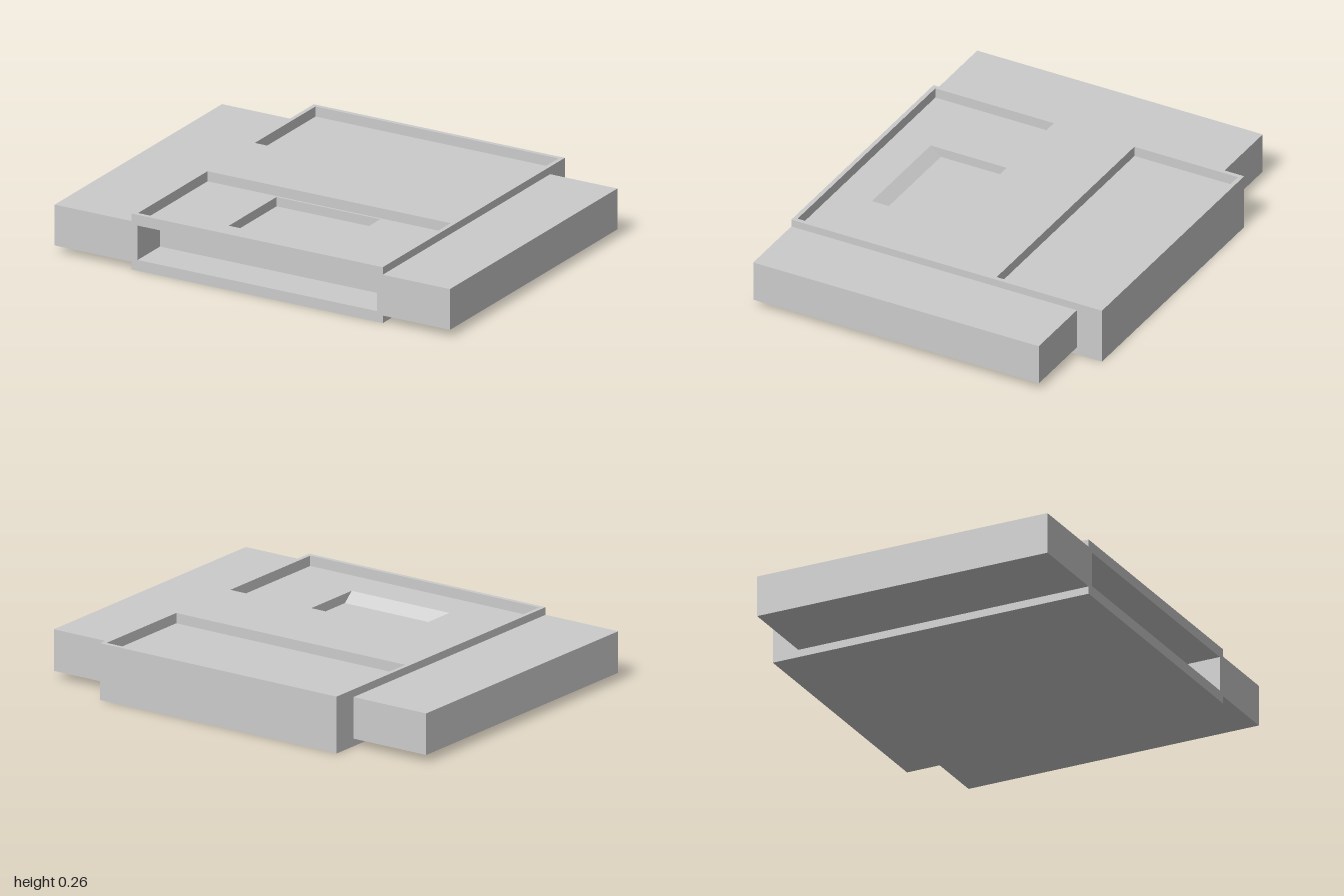
import * as THREE from 'three';

const material = new THREE.MeshStandardMaterial({ color: 0xcccccc, flatShading: true });

// Rectangle outline (a: horizontal range, b: vertical range)
function rect(Type, a0, a1, b0, b1) {
  const r = new Type();
  r.moveTo(a0, b0);
  r.lineTo(a1, b0);
  r.lineTo(a1, b1);
  r.lineTo(a0, b1);
  r.closePath();
  return r;
}

function mesh(name, geometry) {
  const m = new THREE.Mesh(geometry, material);
  m.name = name;
  return m;
}

// Box given by its ranges
function block(name, x0, x1, y0, y1, z0, z1) {
  const g = new THREE.BoxGeometry(x1 - x0, y1 - y0, z1 - z0);
  g.translate((x0 + x1) / 2, (y0 + y1) / 2, (z0 + z1) / 2);
  return mesh(name, g);
}

// Horizontal plate with rectangular openings [x0, x1, z0, z1]
function plate(name, outline, openings, y0, y1) {
  const toShape = (Type, [x0, x1, z0, z1]) => rect(Type, x0, x1, -z1, -z0);
  const shape = toShape(THREE.Shape, outline);
  shape.holes = openings.map((o) => toShape(THREE.Path, o));
  const g = new THREE.ExtrudeGeometry(shape, { depth: y1 - y0, bevelEnabled: false });
  g.rotateX(-Math.PI / 2).translate(0, y0, 0);
  return mesh(name, g);
}

export function createModel() {
  const model = new THREE.Group();
  const L = -0.61, R = 0.66, back = -0.775, front = 0.77;
  const top = 0.26, deck = 0.213, pocketFloor = 0.17, slotBack = 0.58;
  const pocket = [-0.235, 0.29, 0.17, 0.575];

  // Lower wings on both sides
  model.add(block('rightWing', -1, L, 0.035, 0.225, -0.65, front));
  model.add(block('leftWing', R, 1, 0.035, 0.225, -0.65, front));

  // Central body: solid core, deck with the pocket, raised rim with two trays
  const body = new THREE.Group();
  body.name = 'centralBody';
  body.add(block('core', L, R, 0, pocketFloor, back, slotBack));
  body.add(plate('deck', [L, R, back, slotBack], [pocket], pocketFloor, deck));
  body.add(plate('rim', [L, R, back, front], [
    [-0.59, 0.64, -0.755, -0.24],
    [-0.59, 0.64, 0.16, 0.75],
  ], deck, top));

  // Sloping front side of the pocket
  const wedge = new THREE.Shape();
  wedge.moveTo(-pocket[3], pocketFloor);
  wedge.lineTo(-0.525, pocketFloor);
  wedge.lineTo(-pocket[3], deck);
  wedge.closePath();
  const ramp = new THREE.ExtrudeGeometry(wedge, { depth: pocket[1] - pocket[0], bevelEnabled: false });
  ramp.rotateY(Math.PI / 2).translate(pocket[0], 0, 0);
  body.add(mesh('pocketRamp', ramp));

  // Frame around the wide slot in the front
  const frame = rect(THREE.Shape, L, R, 0, deck);
  frame.holes = [rect(THREE.Path, -0.58, 0.63, 0.05, 0.21)];
  const frameGeometry = new THREE.ExtrudeGeometry(frame, { depth: front - slotBack, bevelEnabled: false });
  frameGeometry.translate(0, 0, slotBack);
  body.add(mesh('frontSlotFrame', frameGeometry));

  model.add(body);
  return model;
}
